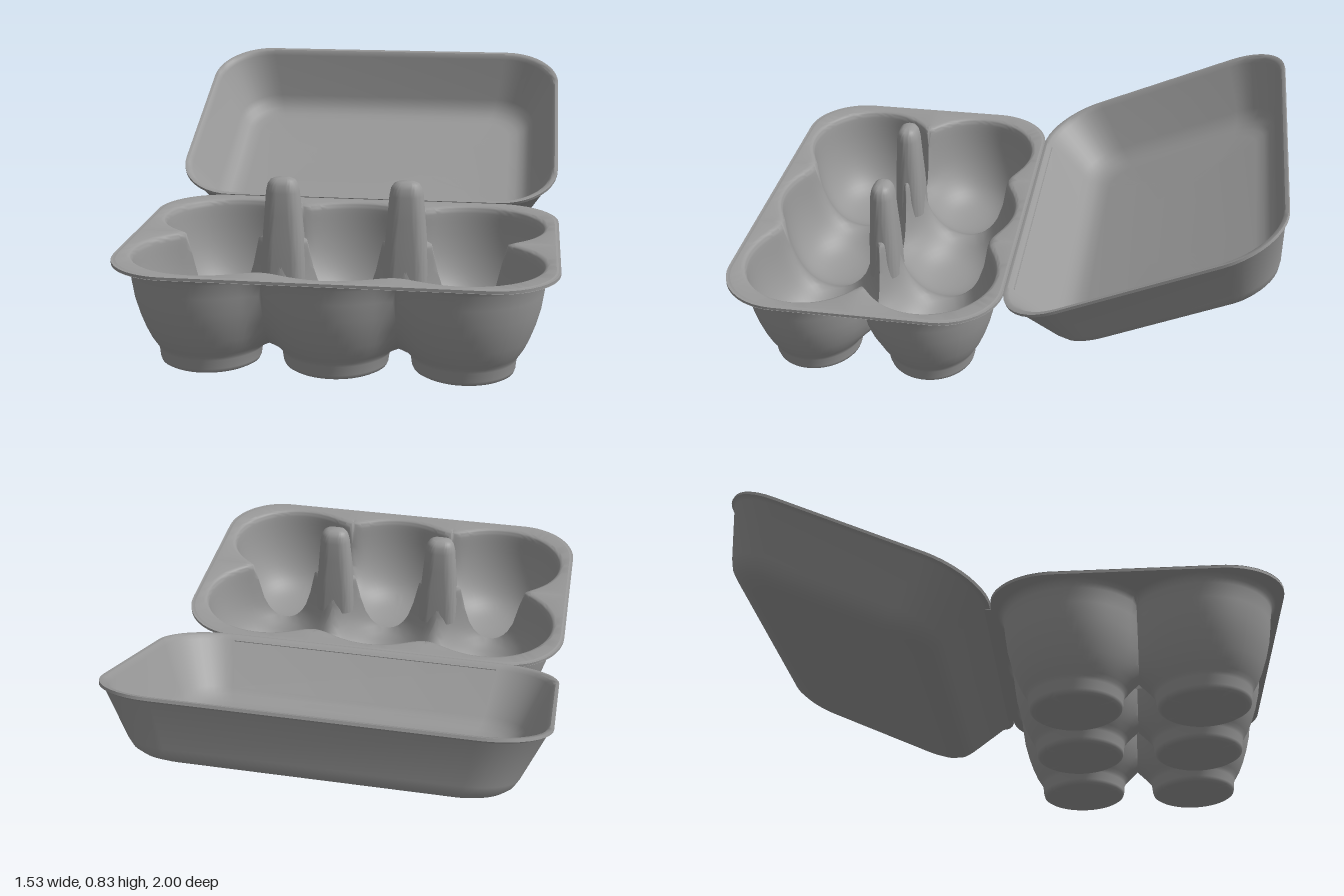
import * as THREE from 'three';
import { mergeGeometries, toCreasedNormals } from 'three/addons/utils/BufferGeometryUtils.js';

const material = new THREE.MeshStandardMaterial({ color: 0x999999, side: THREE.DoubleSide });
const CUP_X = [-0.45, 0, 0.45], CUP_Z = [-0.224, 0.224]; // cup centres, relative to the tray
const CUP_DEPTH = 0.93; // cups are slightly shorter front to back
const TRAY = { hx: 0.765, hz: 0.516, r: 0.23, z: 0.481 };
const WALL_X = 0.225; // line between neighbouring cups

// Surface from rows of points [x, y, z]
function grid(rows, flip = false) {
  const n = rows[0].length, index = [];
  for (let i = 0; i < rows.length - 1; i++) {
    for (let j = 0; j < n - 1; j++) {
      const a = i * n + j, b = a + 1, c = a + n, d = c + 1;
      if (flip) index.push(a, b, c, b, d, c);
      else index.push(a, c, b, b, c, d);
    }
  }
  const g = new THREE.BufferGeometry();
  g.setAttribute('position', new THREE.Float32BufferAttribute(rows.flat(2), 3));
  g.setIndex(index);
  return g;
}

// Closed rounded rectangle at height y
function ring(hx, hz, radius, y) {
  const r = Math.min(radius, hx, hz), pts = [], n = 10;
  for (let q = 0; q < 4; q++) {
    const sx = q === 0 || q === 3 ? 1 : -1, sz = q < 2 ? 1 : -1;
    for (let k = 0; k <= n; k++) {
      const a = (q + k / n) * Math.PI / 2;
      pts.push([sx * (hx - r) + r * Math.cos(a), y, sz * (hz - r) + r * Math.sin(a)]);
    }
  }
  pts.push([...pts[0]]);
  return pts;
}

function part(name, geometry, crease = 0.7) {
  const mesh = new THREE.Mesh(toCreasedNormals(geometry, crease), material);
  mesh.name = name;
  return mesh;
}

// Blended distance to the nearest cup axis: soft along a row;
// between the rows soft at the bottom and crisper towards the rim
const softMin = (list, k) => {
  const m = Math.min(...list);
  return m - k * Math.log(list.reduce((s, v) => s + Math.exp((m - v) / k), 0));
};
function cupDistance(x, z) {
  const rows = CUP_Z.map(cz =>
    softMin(CUP_X.map(cx => Math.hypot(x - cx, (z - cz) / CUP_DEPTH)), 0.052));
  const k = 0.05 - 0.038 * THREE.MathUtils.smoothstep(Math.min(...rows), 0.23, 0.28);
  return softMin(rows, k);
}

function heightAt(profile, d) {
  for (let i = 1; i < profile.length; i++) {
    const [r0, y0] = profile[i - 1], [r1, y1] = profile[i];
    if (d <= r1) return y0 + (y1 - y0) * Math.max(0, (d - r0) / (r1 - r0));
  }
  return profile[profile.length - 1][1];
}

// Largest t in 0..hi for which test(t) still holds
function bisect(test, hi) {
  if (test(hi)) return hi;
  let lo = 0;
  for (let k = 0; k < 40; k++) {
    const mid = (lo + hi) / 2;
    if (test(mid)) lo = mid; else hi = mid;
  }
  return lo;
}

function insideTray(x, z) {
  const qx = Math.abs(x) - TRAY.hx + TRAY.r, qz = Math.abs(z) - TRAY.hz + TRAY.r;
  return Math.hypot(Math.max(qx, 0), Math.max(qz, 0)) <= TRAY.r;
}

// Ray directions, including the exact corners of each cup's cell
const angles = [];
for (let i = 0; i < 80; i++) angles.push(-Math.PI + i * Math.PI / 40);
for (const [x, z] of [[0.225, 0.224], [0.225, 0.292], [0.315, 0.224]])
  for (const sx of [-1, 1]) for (const sz of [-1, 1]) angles.push(Math.atan2(sz * z, sx * x));
angles.sort((a, b) => a - b);
angles.push(Math.PI);

// One skin of a cup with its share of the rim
function cupCell(cx, cz, profile, flip) {
  const columns = angles.map(a => {
    const ux = Math.cos(a), uz = Math.sin(a);
    let edge = 2;
    if (Math.abs(cx + Math.sign(ux) * WALL_X) < 0.3) edge = Math.min(edge, WALL_X / Math.abs(ux));
    if (uz * cz < 0) edge = Math.min(edge, Math.abs(cz / uz));
    edge = bisect(t => insideTray(cx + ux * t, cz + uz * t), edge);
    const reach = profile.map(([r]) => r === 0 ? 0
      : bisect(t => cupDistance(cx + ux * t, cz + uz * t) <= r, edge));
    reach.push(edge);
    return reach.map(t => {
      const x = cx + ux * t, z = cz + uz * t;
      return [x, heightAt(profile, cupDistance(x, z)), z];
    });
  });
  return grid(columns[0].map((_, i) => columns.map(c => c[i])), flip);
}

function traySkin(profile, flip) {
  const cells = [];
  for (const cx of CUP_X) for (const cz of CUP_Z) cells.push(cupCell(cx, cz, profile, flip));
  return mergeGeometries(cells);
}

export function createModel() {
  const model = new THREE.Group();
  model.name = 'eggCarton';

  // Tray: six blended cups, footed outside and bowl-shaped inside
  const tray = new THREE.Group();
  tray.name = 'tray';
  tray.position.z = TRAY.z;
  const outside = [[0, 0], [0.16, 0], [0.17, 0.006], [0.174, 0.018], [0.177, 0.05], [0.182, 0.062],
    [0.19, 0.074], [0.205, 0.098], [0.222, 0.135], [0.24, 0.185], [0.255, 0.24], [0.264, 0.3],
    [0.27, 0.35], [0.277, 0.368], [0.29, 0.378]];
  const bowl = [[0, 0.018], [0.06, 0.022], [0.12, 0.038], [0.17, 0.072], [0.205, 0.122], [0.23, 0.185],
    [0.245, 0.25], [0.253, 0.31], [0.258, 0.36], [0.264, 0.382], [0.28, 0.39]]
    .map(p => new THREE.Vector2(...p));
  const inside = new THREE.SplineCurve(bowl).getPoints(26).map(p => [p.x, p.y]);
  tray.add(part('cupsOutside', traySkin(outside, false), 0.95));
  tray.add(part('cupsInside', traySkin(inside, true), 1.2));
  const lip = [[0.015, 0.377], [0, 0.379], [0, 0.389], [0.015, 0.391]];
  tray.add(part('trayRim', grid(lip.map(([inset, y]) =>
    ring(TRAY.hx - inset, TRAY.hz - inset, TRAY.r - inset, y)))));

  // Two hollow posts between the cups: [half width, half depth, height]
  const post = [[0.082, 0.058, 0.22], [0.08, 0.056, 0.3], [0.075, 0.053, 0.38], [0.068, 0.048, 0.47],
    [0.061, 0.044, 0.555], [0.055, 0.039, 0.582], [0.045, 0.03, 0.597], [0.03, 0.018, 0.604], [0, 0, 0.605]];
  for (const side of [-1, 1]) {
    const mesh = part(side < 0 ? 'rightPost' : 'leftPost',
      grid(post.map(([hx, hz, y]) => ring(hx, hz, 0.045, y))), 0.9);
    mesh.position.x = side * 0.222;
    tray.add(mesh);
  }
  model.add(tray);

  // Lid: shallow tapered dish, outside up to the rim and back down inside [inset, height]
  const half = 0.53;
  const dish = [[half, -0.262], [0.2, -0.262], [0.165, -0.258], [0.135, -0.246], [0.11, -0.226],
    [0.092, -0.195], [0.016, -0.022], [0.008, -0.014], [0, -0.011], [0, 0], [0.013, 0], [0.02, -0.006],
    [0.028, -0.02], [0.102, -0.19], [0.119, -0.216], [0.143, -0.236], [0.17, -0.247], [0.205, -0.25],
    [half, -0.25]];
  const lid = new THREE.Group();
  lid.name = 'lid';
  const shell = part('lidShell', grid(dish.map(([inset, y]) =>
    ring(0.765 - inset, half - inset, 0.23 - inset * 0.6, y))));
  shell.position.z = -half;
  lid.add(shell);
  lid.position.set(0, 0.393, -0.034);
  lid.rotation.x = 0.426;
  model.add(lid);

  // Flat hinge strip joining tray and lid
  const hinge = part('hinge', new THREE.BoxGeometry(1.04, 0.009, 0.06));
  hinge.position.set(0, 0.383, -0.04);
  model.add(hinge);
  return model;
}
